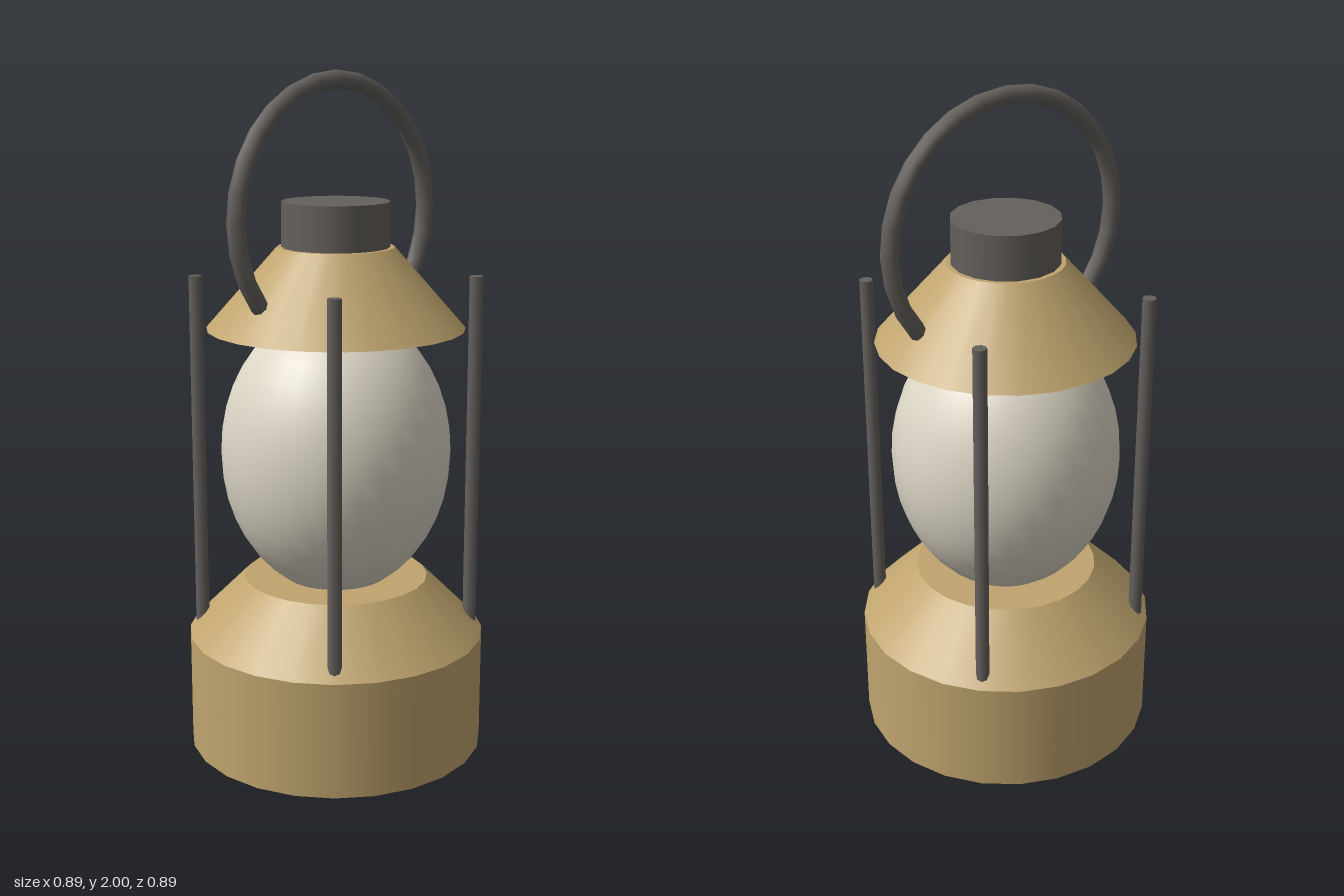
import * as THREE from 'three';

export function createModel() {
  const lantern = new THREE.Group();
  lantern.name = 'lantern';

  const material = (name, color) => {
    const m = new THREE.MeshStandardMaterial({ color });
    m.name = name;
    return m;
  };
  const brass = material('brass', 0xbfa46e);
  const iron = material('dark iron', 0x64605c);
  const glass = material('frosted glass', 0xdcd6c6);

  const add = (name, geometry, mat, x, y, z) => {
    const mesh = new THREE.Mesh(geometry, mat);
    mesh.name = name;
    mesh.position.set(x, y, z);
    lantern.add(mesh);
    return mesh;
  };
  // Upright round part between two heights
  const turned = (name, mat, rBottom, rTop, y0, y1, sides, x = 0, z = 0) =>
    add(name, new THREE.CylinderGeometry(rTop, rBottom, y1 - y0, sides), mat, x, (y0 + y1) / 2, z);

  // Fuel tank with sloping shoulder
  turned('tank', brass, 0.444, 0.444, 0, 0.345, 24);
  turned('tankShoulder', brass, 0.444, 0.275, 0.345, 0.515, 24);

  // Egg-shaped globe
  const globe = add('globe', new THREE.SphereGeometry(1, 32, 20), glass, 0, 0.9, 0);
  globe.scale.set(0.34, 0.43, 0.34);

  // Conical hood and chimney
  turned('hood', brass, 0.377, 0.17, 1.27, 1.505, 24);
  turned('chimney', iron, 0.157, 0.157, 1.49, 1.635, 16);

  // Four guard rods standing on the shoulder
  for (const x of [-0.287, 0.287]) {
    for (const z of [-0.287, 0.287]) {
      turned('guardRod', iron, 0.02, 0.02, 0.35, 1.42, 8, x, z);
    }
  }

  // Ring handle passing through the hood
  add('handle', new THREE.TorusGeometry(0.377, 0.026, 8, 28), iron, 0, 1.597, 0);

  return lantern;
}
